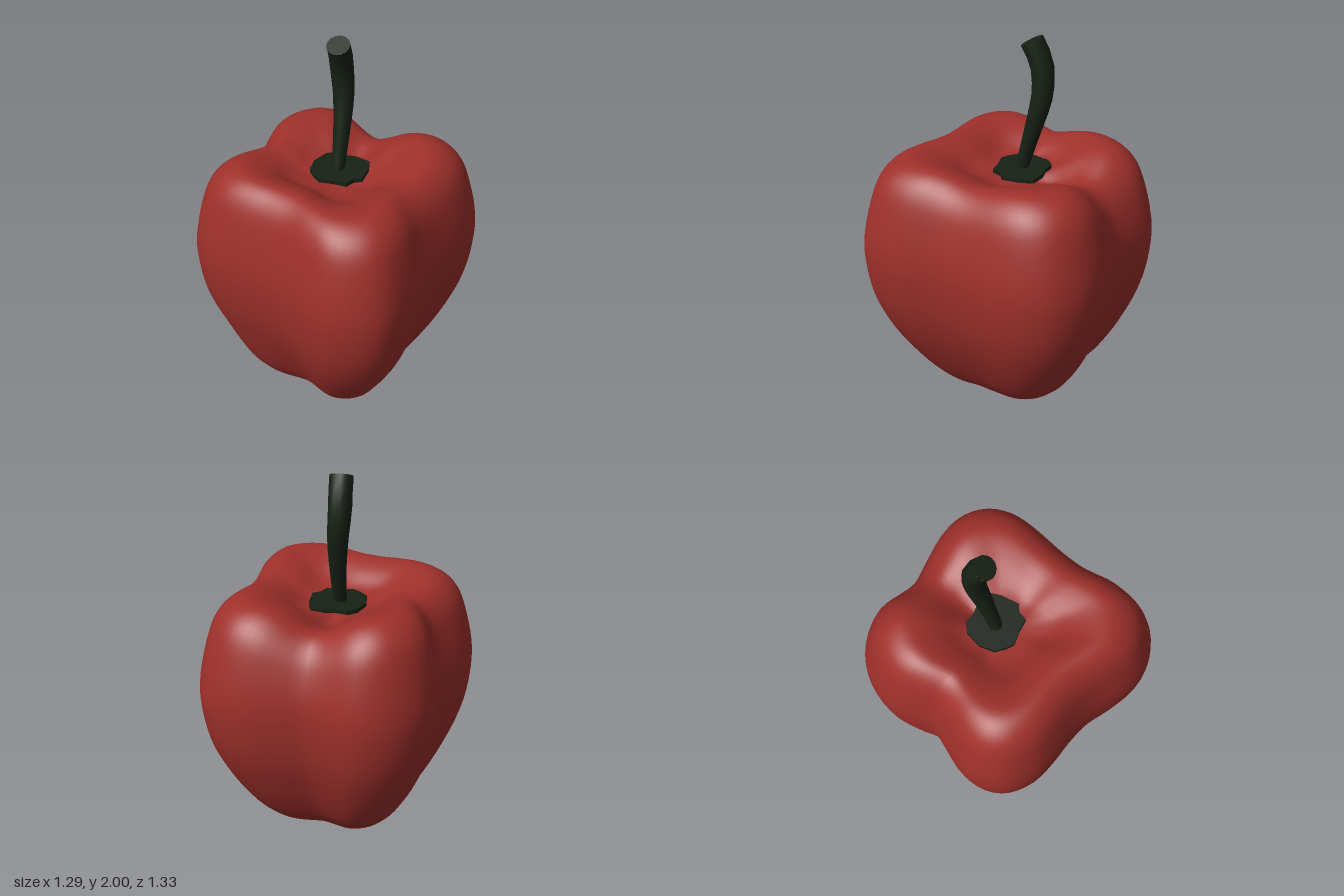
import * as THREE from 'three';

const V2 = (p) => new THREE.Vector2(p[0], p[1]);
const smooth = THREE.MathUtils.smoothstep;

// Four-lobed body: one closed outline swept along a bottom-to-top profile
function bodyGeometry() {
  const outline = new THREE.CatmullRomCurve3([
    [0, -0.62], [0.15, -0.645], [0.3, -0.66], [0.45, -0.63], [0.57, -0.54], [0.63, -0.41],
    [0.64, -0.28], [0.61, 0], [0.6, 0.15], [0.615, 0.35], [0.57, 0.54], [0.46, 0.63],
    [0.32, 0.665], [0.18, 0.635], [0, 0.57], [-0.15, 0.55], [-0.3, 0.545], [-0.45, 0.52],
    [-0.58, 0.44], [-0.64, 0.33], [-0.64, 0.18], [-0.57, 0], [-0.545, -0.07], [-0.57, -0.17],
    [-0.59, -0.33], [-0.54, -0.49], [-0.43, -0.61], [-0.28, -0.665], [-0.12, -0.64],
  ].map(([x, z]) => new THREE.Vector3(x, 0, z)), true);

  // [scale of the outline, height]
  const profile = new THREE.SplineCurve([
    [0, 0.003], [0.18, 0.002], [0.34, 0.003], [0.45, 0.035], [0.55, 0.105], [0.66, 0.205],
    [0.83, 0.4], [0.947, 0.6], [0.998, 0.8], [0.995, 0.97], [0.93, 1.18], [0.86, 1.295],
    [0.755, 1.362], [0.63, 1.382], [0.46, 1.345], [0.3, 1.28], [0.15, 1.255], [0, 1.25],
  ].map(V2));

  const around = 96, rings = 64;
  const pos = [], index = [];
  const ring = outline.getSpacedPoints(around);
  for (let i = 0; i <= rings; i++) {
    const { x: f0, y } = profile.getPoint(i / rings);
    const f = Math.max(f0, 0);
    const top = smooth(y, 0.9, 1.36) * smooth(f, 0, 0.5);
    const bottom = (1 - smooth(y, 0, 0.45)) * smooth(f, 0, 0.3);
    for (let j = 0; j < around; j++) {
      const p = ring[j], r = Math.hypot(p.x, p.z);
      const dx = p.x / r, dz = p.z / r;
      // furrow is 1 between lobes and 0 on the lobes
      const furrow = Math.abs(dx * dx - dz * dz) ** 3;
      const sag = dz * dz * (dz < 0 ? 0.11 : 0.005) + dx * dx * 0.04;
      // the front right lobe reaches furthest at the foot, the back is raised
      const foot = Math.max(0, (dz - dx) * Math.SQRT1_2) ** 8;
      const back = Math.max(0, -dz);
      const s = f * (1 + bottom * (0.13 * foot + 0.1 * back));
      const lift = 0.045 * bottom * back;
      pos.push(p.x * s, Math.max(0, y) - sag * furrow * top + lift, p.z * s);
      if (i < rings) {
        const k = (j + 1) % around;
        const a = i * around + j, b = i * around + k;
        index.push(a, a + around, b, b, a + around, b + around);
      }
    }
  }
  const g = new THREE.BufferGeometry();
  g.setAttribute('position', new THREE.Float32BufferAttribute(pos, 3));
  g.setIndex(index);
  g.computeVertexNormals();
  return g;
}

// Curved stem that widens towards its slanted cut end
function stemGeometries() {
  const path = new THREE.CatmullRomCurve3([
    [-0.01, 1.25, -0.04], [-0.01, 1.36, -0.068], [-0.018, 1.54, -0.115], [-0.03, 1.69, -0.149],
    [-0.04, 1.82, -0.148], [-0.036, 1.9, -0.127], [-0.03, 1.973, -0.09],
  ].map((p) => new THREE.Vector3(...p)));
  const radius = (t) => 0.035 + 0.025 * smooth(t, 0, 0.85);
  const tube = new THREE.TubeGeometry(path, 10, 1, 14, false);
  const { position, uv } = tube.attributes;
  const v = new THREE.Vector3();
  for (let i = 0; i < position.count; i++) {
    const t = uv.getX(i), c = path.getPointAt(t);
    v.fromBufferAttribute(position, i).sub(c).multiplyScalar(radius(t)).add(c);
    position.setXYZ(i, v.x, v.y, v.z);
  }
  tube.computeVertexNormals();

  const cap = new THREE.CircleGeometry(radius(1), 14);
  cap.applyQuaternion(new THREE.Quaternion().setFromUnitVectors(
    new THREE.Vector3(0, 0, 1), path.getTangentAt(1)));
  const end = path.getPointAt(1);
  cap.translate(end.x, end.y, end.z);
  return [tube, cap];
}

// Thin, irregular leaf collar under the stem
function collarGeometry() {
  const shape = new THREE.Shape([
    [-0.13, -0.14], [-0.09, -0.18], [-0.03, -0.175], [0.03, -0.19], [0.11, -0.18], [0.135, -0.12],
    [0.15, -0.02], [0.115, 0.01], [0.1, 0.06], [0.03, 0.07], [-0.04, 0.09], [-0.08, 0.07],
    [-0.13, 0.03], [-0.15, -0.05],
  ].map(([x, z]) => new THREE.Vector2(x, -z)));
  const g = new THREE.ExtrudeGeometry(shape, { depth: 0.022, bevelEnabled: false });
  g.rotateX(-Math.PI / 2);
  g.translate(0, 1.275, 0);
  return g;
}

export function createModel() {
  const red = new THREE.MeshStandardMaterial({ color: 0x9e302b });
  const green = new THREE.MeshStandardMaterial({ color: 0x172115 });
  const model = new THREE.Group();
  model.name = 'bellPepper';
  const add = (name, geometry, material) => {
    const mesh = new THREE.Mesh(geometry, material);
    mesh.name = name;
    model.add(mesh);
  };

  add('body', bodyGeometry(), red);
  add('collar', collarGeometry(), green);
  const [stem, cut] = stemGeometries();
  add('stem', stem, green);
  add('stemCutEnd', cut, green);
  return model;
}
